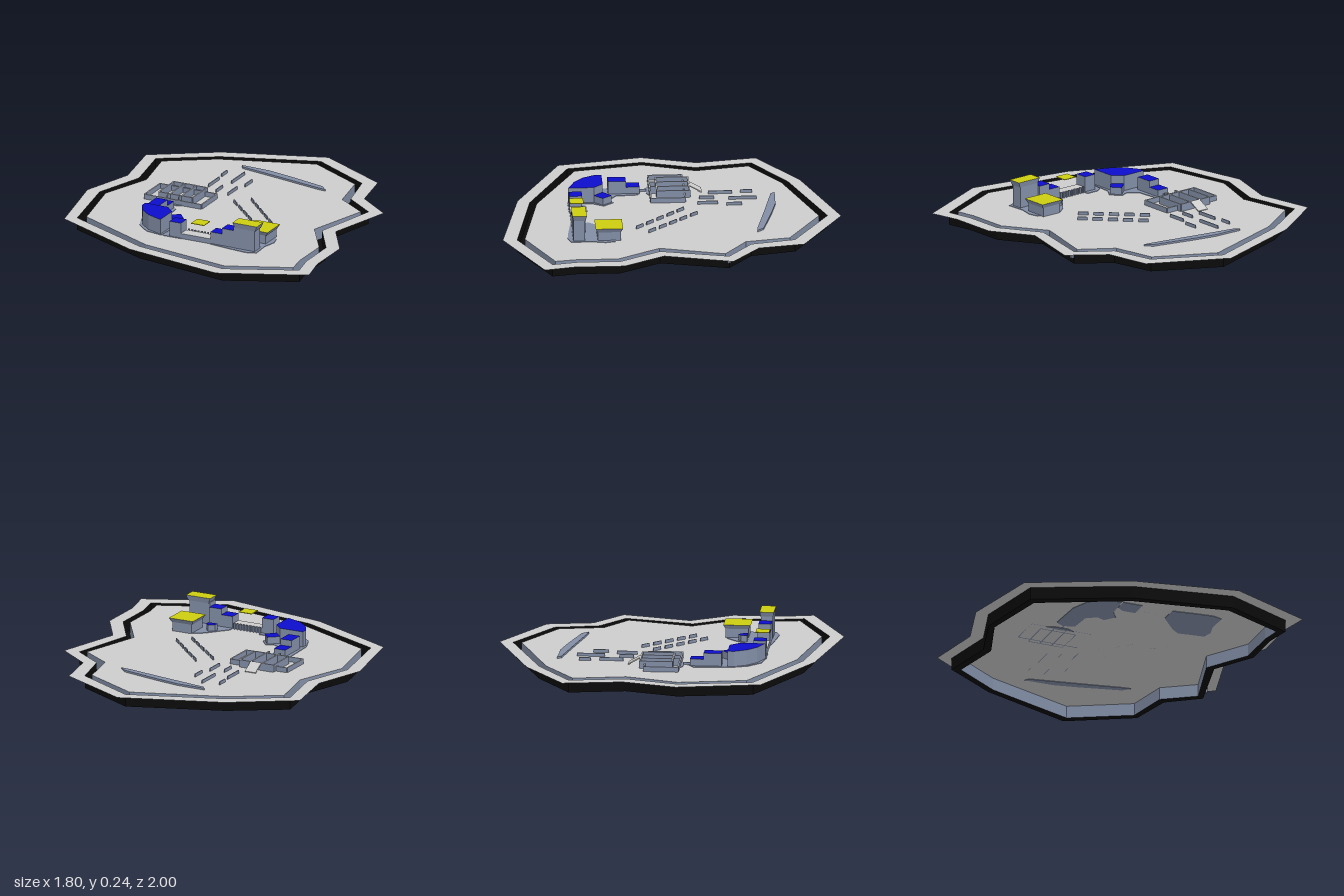
import * as THREE from 'three';

const mat = (name, color, side = THREE.FrontSide) => {
  const m = new THREE.MeshStandardMaterial({ color, side });
  m.name = name;
  return m;
};

export function createModel() {
  const model = new THREE.Group();
  const DS = THREE.DoubleSide;
  const ground = mat('lightGrey', 0xcccccc, DS);
  const slate = mat('slate', 0x828ea6, DS);
  const black = mat('black', 0x0b0b0b, DS);
  const blue = mat('blue', 0x0c0ccc);
  const yellow = mat('yellow', 0xcccc10, DS);
  const Y = 0.075; // ground level

  const add = (name, geo, material) => {
    const mesh = new THREE.Mesh(geo, material);
    mesh.name = name;
    model.add(mesh);
    return mesh;
  };
  // points are [x, z] pairs seen from above
  const toVecs = (pts) => pts.map(([x, z]) => new THREE.Vector2(x, -z));
  const rect = (x0, x1, z0, z1) => [[x0, z0], [x1, z0], [x1, z1], [x0, z1]];

  // flat sheet at a height, with an optional hole
  function sheet(name, pts, y, material, hole) {
    const s = new THREE.Shape(toVecs(pts));
    if (hole) s.holes.push(new THREE.Path(toVecs(hole)));
    add(name, new THREE.ShapeGeometry(s).rotateX(-Math.PI / 2).translate(0, y, 0), material);
  }
  // upright wall following a closed outline
  function curtain(name, pts, y0, y1, material) {
    const pos = [];
    pts.forEach(([ax, az], i) => {
      const [bx, bz] = pts[(i + 1) % pts.length];
      pos.push(ax, y0, az, ax, y1, az, bx, y1, bz, ax, y0, az, bx, y1, bz, bx, y0, bz);
    });
    const g = new THREE.BufferGeometry();
    g.setAttribute('position', new THREE.Float32BufferAttribute(pos, 3));
    g.computeVertexNormals();
    add(name, g, material);
  }
  // solid prism with its own top colour
  function prism(name, pts, y0, y1, top, side = slate) {
    const g = new THREE.ExtrudeGeometry(new THREE.Shape(toVecs(pts)), { depth: y1 - y0, bevelEnabled: false });
    add(name, g.rotateX(-Math.PI / 2).translate(0, y0, 0), [top, side]);
  }
  // thin straight wall between two ground points
  function rail(name, ax, az, bx, bz, y1, t = 0.006, top = slate) {
    const len = Math.hypot(bx - ax, bz - az);
    const g = new THREE.BoxGeometry(len, y1 - Y, t);
    g.rotateY(-Math.atan2(bz - az, bx - ax)).translate((ax + bx) / 2, (Y + y1) / 2, (az + bz) / 2);
    add(name, g, [slate, slate, top, slate, slate, slate]);
  }
  // flared roof, wider at the top
  function flaredRoof(name, x0, x1, z0, z1, y0, y1) {
    const g = new THREE.CylinderGeometry(Math.SQRT1_2, Math.SQRT1_2 * 0.84, 1, 4)
      .rotateY(Math.PI / 4)
      .scale(x1 - x0, y1 - y0, z1 - z0)
      .translate((x0 + x1) / 2, (y0 + y1) / 2, (z0 + z1) / 2)
      .toNonIndexed();
    g.computeVertexNormals();
    add(name, g, [slate, yellow, slate]);
  }

  // ground: outer rim, black trench and inner plateau
  const rim = [[0.11, -1], [0.56, -0.76], [0.61, -0.49], [0.82, -0.33], [0.71, 0.07], [0.86, 0.31], [0.86, 0.6],
    [0.9, 0.78], [0.4, 1], [-0.23, 0.88], [-0.8, 0.61], [-0.9, 0.12], [-0.8, -0.2], [-0.86, -0.55], [-0.49, -0.79]];
  const trenchOut = [[0.1, -0.92], [0.48, -0.71], [0.54, -0.45], [0.73, -0.31], [0.63, 0.09], [0.78, 0.33], [0.78, 0.58],
    [0.81, 0.73], [0.4, 0.915], [-0.2, 0.81], [-0.74, 0.56], [-0.82, 0.12], [-0.72, -0.19], [-0.78, -0.52], [-0.46, -0.72]];
  const trenchIn = [[0.1, -0.87], [0.45, -0.68], [0.5, -0.42], [0.69, -0.29], [0.58, 0.09], [0.74, 0.34], [0.74, 0.59],
    [0.76, 0.71], [0.39, 0.87], [-0.18, 0.77], [-0.7, 0.52], [-0.78, 0.12], [-0.67, -0.19], [-0.73, -0.5], [-0.45, -0.68]];
  sheet('groundRim', rim, Y, ground, trenchOut);
  sheet('plateau', trenchIn, Y, ground);
  sheet('trenchFloor', trenchOut, 0, black, trenchIn);
  curtain('trenchOuterWall', trenchOut, 0, Y, black);
  curtain('trenchInnerWall', trenchIn, 0, Y, slate);
  prism('rimOutlet', rect(0.74, 0.755, -0.32, -0.3), 0.04, Y - 0.001, slate);

  // slate footings, showing on both faces of the ground
  const footing = (name, pts, top = 0.078) => prism(name, pts, 0.072, top, slate);
  footing('westFooting', [[-0.41, 0.18], [-0.36, 0.15], [-0.29, 0.17], [-0.28, 0.3], [-0.22, 0.34], [-0.17, 0.32],
    [-0.12, 0.38], [-0.16, 0.44], [-0.17, 0.59], [-0.28, 0.57], [-0.36, 0.5], [-0.4, 0.4]]);
  footing('middleFooting', [[-0.16, 0.51], [-0.12, 0.48], [-0.04, 0.48], [-0.04, 0.59], [-0.16, 0.59]]);
  footing('eastFooting', [[0.15, 0.48], [0.2, 0.42], [0.25, 0.36], [0.3, 0.32], [0.46, 0.34], [0.475, 0.4], [0.455, 0.48],
    [0.46, 0.6], [0.4, 0.62], [0.3, 0.61], [0.15, 0.59]]);
  footing('pierFooting', [[-0.44, 0.1], [-0.36, 0.09], [-0.27, 0.1], [-0.31, 0.12], [-0.4, 0.12]]);
  footing('northBank', [[-0.27, -0.63], [-0.09, -0.625], [0.06, -0.595], [0.31, -0.535], [0.35, -0.495],
    [0.3, -0.5], [0.02, -0.555], [-0.25, -0.605]], 0.086);

  // west buildings
  prism('lowHouse', rect(-0.385, -0.31, 0.16, 0.24), Y, 0.118, blue);
  prism('tallHouse', rect(-0.385, -0.31, 0.24, 0.345), Y, 0.155, blue);
  prism('cornerHall', [[-0.385, 0.38], [-0.235, 0.38], [-0.18, 0.435], [-0.18, 0.585], [-0.28, 0.545],
    [-0.345, 0.49], [-0.385, 0.42]], Y, 0.17, blue);
  prism('hallAnnex', [[-0.235, 0.38], [-0.175, 0.33], [-0.13, 0.385], [-0.18, 0.435]], Y, 0.12, blue);

  // south range: house, arcade, floating canopy, stepped houses
  prism('southHouse', rect(-0.12, -0.045, 0.51, 0.585), Y, 0.17, blue);
  prism('arcade', rect(-0.045, 0.15, 0.515, 0.585), Y, 0.106, ground);
  for (let i = 0; i < 9; i++) {
    const x = -0.035 + i * 0.021;
    prism('arcadePier', rect(x, x + 0.01, 0.505, 0.515), Y, 0.112, slate);
  }
  prism('canopy', rect(0.025, 0.11, 0.51, 0.59), 0.181, 0.185, yellow, yellow);
  prism('steppedHouseLow', rect(0.15, 0.225, 0.51, 0.585), Y, 0.15, blue);
  prism('steppedHouseHigh', rect(0.225, 0.305, 0.51, 0.585), Y, 0.185, blue);

  // towers with flared roofs
  prism('tallTower', rect(0.305, 0.442, 0.52, 0.588), Y, 0.21, slate);
  flaredRoof('tallTowerRoof', 0.3, 0.46, 0.51, 0.595, 0.205, 0.237);
  prism('lowTower', rect(0.315, 0.442, 0.31, 0.445), Y, 0.135, slate);
  flaredRoof('lowTowerRoof', 0.3, 0.46, 0.297, 0.458, 0.13, 0.155);
  prism('towerShed', [[0.215, 0.41], [0.25, 0.39], [0.275, 0.42], [0.275, 0.445], [0.215, 0.445]], Y, 0.115, blue);

  // walled pier court with dividers and ramp
  const court = (name, x0, x1, z0, z1, y) => {
    const c = rect(x0, x1, z0, z1);
    c.forEach(([x, z], i) => rail(name, x, z, ...c[(i + 1) % 4], y, 0.008, ground));
  };
  court('outerCourtWall', -0.535, -0.16, -0.1, 0.1, 0.105);
  court('innerCourtWall', -0.46, -0.24, -0.13, 0.06, 0.12);
  [-0.387, -0.312].forEach((x) => rail('courtDivider', x, -0.13, x, 0.098, 0.12, 0.008, ground));
  const ramp = new THREE.BoxGeometry(0.07, 0.006, Math.hypot(0.07, 0.04));
  ramp.rotateX(-Math.atan2(0.04, 0.07)).translate(-0.347, 0.098, -0.168);
  add('courtRamp', ramp, ground);
  rail('courtLink', -0.35, 0.12, -0.35, 0.16, 0.09);

  // rows of low dashes
  [[-0.3, -0.5, -0.43], [-0.29, -0.38, -0.24], [-0.195, -0.52, -0.355], [-0.21, -0.27, -0.185],
    [-0.1, -0.43, -0.34], [-0.125, -0.29, -0.17]].forEach(([x, z0, z1]) => rail('straightDash', x, z0, x, z1, 0.094));
  [[-0.04, -0.085, 0.26, 0.21], [0.035, -0.16, 0.325, 0.14]].forEach(([ax, az, bx, bz]) => {
    for (let i = 0; i < 5; i++) {
      const p = (t) => [ax + (bx - ax) * t, az + (bz - az) * t];
      rail('diagonalDash', ...p(i * 0.215), ...p(i * 0.215 + 0.14), 0.094);
    }
  });
  return model;
}
